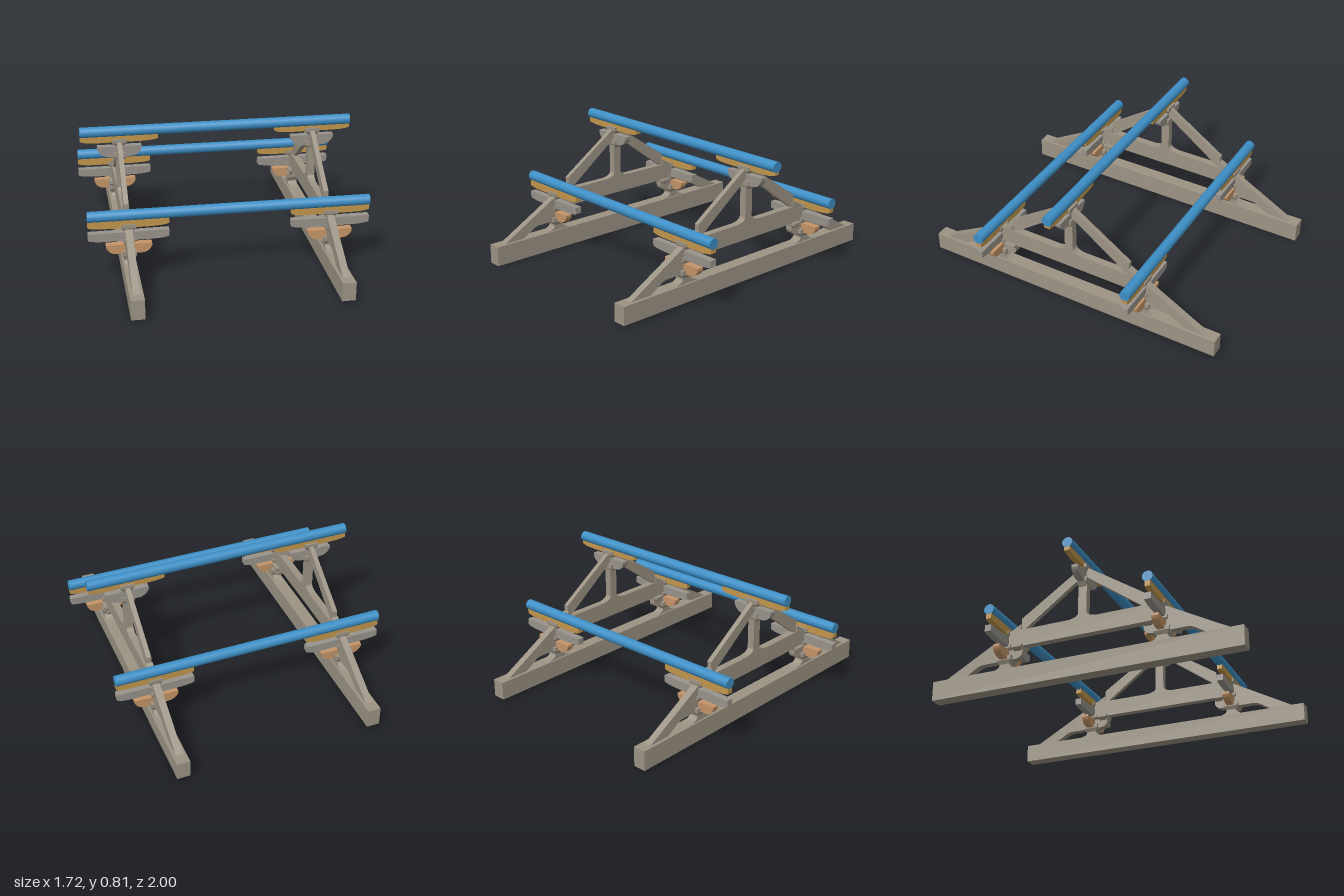
import * as THREE from 'three';

const mat = (name, color) => new THREE.MeshStandardMaterial({ name, color });

export function createModel() {
  const model = new THREE.Group();
  model.name = 'roofFrame';
  const timber = mat('grey timber', 0x9c9384);
  const armWood = mat('pale grey arm', 0x98938b);
  const blue = mat('blue purlin', 0x3d8fc6);
  const gold = mat('golden batten', 0xc2964c);
  const tan = mat('tan arm', 0xc49468);

  const add = (parent, name, geo, material, x = 0, y = 0, z = 0) => {
    const m = new THREE.Mesh(geo, material);
    m.name = name;
    m.position.set(x, y, z);
    parent.add(m);
    return m;
  };
  const box = (parent, name, w, y0, y1, d, material = timber, z = 0) =>
    add(parent, name, new THREE.BoxGeometry(w, y1 - y0, d), material, 0, (y0 + y1) / 2, z);
  const extrude = (shape, depth) => {
    const g = new THREE.ExtrudeGeometry(shape, { depth, bevelEnabled: false, curveSegments: 8 });
    return g.translate(0, 0, -depth / 2);
  };
  // plate drawn in (z, y), thick along x
  const sidePlate = (shape, width) => extrude(shape, width).rotateY(-Math.PI / 2);
  const polygon = (pts) => new THREE.Shape(pts.map(([a, b]) => new THREE.Vector2(a, b)));

  // bracket arm along x: square ends, underside curving down to a flat middle
  const armShape = (half, flat, top, end, bottom) => {
    const s = new THREE.Shape();
    s.moveTo(-half, top);
    s.lineTo(-half, end);
    s.quadraticCurveTo(-(half * 0.75 + flat * 0.25), bottom, -flat, bottom);
    s.lineTo(flat, bottom);
    s.quadraticCurveTo(half * 0.75 + flat * 0.25, bottom, half, end);
    s.lineTo(half, top);
    return s;
  };

  // bearing block: square cap over a tapered base
  const block = (parent, y0, y1, w, d, z = 0, foot = 0.65) => {
    const g = new THREE.Group();
    g.name = 'bearingBlock';
    const mid = y0 + (y1 - y0) * 0.5;
    box(g, 'blockCap', w, mid, y1, d);
    const taper = new THREE.CylinderGeometry(Math.SQRT1_2, Math.SQRT1_2 * foot, mid - y0, 4, 1)
      .toNonIndexed();
    taper.rotateY(Math.PI / 4).scale(w, 1, d);
    taper.computeVertexNormals();
    add(g, 'blockBase', taper, timber, 0, (y0 + mid) / 2, 0);
    g.position.z = z;
    parent.add(g);
  };

  // post with a concave flared foot
  const flaredPost = (y0, y1, footHalf, half, flare) => {
    const s = new THREE.Shape();
    s.moveTo(-footHalf, y0);
    s.quadraticCurveTo(-half, y0 + flare * 0.2, -half, y0 + flare);
    s.lineTo(-half, y1);
    s.lineTo(half, y1);
    s.lineTo(half, y0 + flare);
    s.quadraticCurveTo(half, y0 + flare * 0.2, footHalf, y0);
    return s;
  };

  // bracket set under an eave purlin
  const eaveBracket = (truss, side) => {
    const g = new THREE.Group();
    g.name = side > 0 ? 'frontBracket' : 'backBracket';
    add(g, 'bracketFoot', sidePlate(flaredPost(0.125, 0.175, 0.1, 0.033, 0.035), 0.06), timber);
    block(g, 0.158, 0.212, 0.085, 0.096);
    add(g, 'lowerArm', extrude(armShape(0.138, 0.07, 0.25, 0.235, 0.19), 0.045), tan);
    block(g, 0.245, 0.285, 0.07, 0.07);
    add(g, 'longArm', extrude(armShape(0.243, 0.12, 0.33, 0.288, 0.275), 0.042), armWood);
    block(g, 0.335, 0.378, 0.09, 0.05);
    add(g, 'eaveBatten', extrude(armShape(0.243, 0.12, 0.405, 0.37, 0.357), 0.036), gold);

    // inner arm along z carrying the cross beam
    const inner = new THREE.Shape();
    inner.moveTo(0.06, 0.25);
    inner.lineTo(-0.115, 0.25);
    inner.lineTo(-0.115, 0.225);
    inner.quadraticCurveTo(-0.11, 0.187, -0.06, 0.187);
    inner.lineTo(0.06, 0.187);
    add(g, 'innerArm', sidePlate(inner, 0.044), timber);
    block(g, 0.238, 0.272, 0.095, 0.066, -0.085);

    g.position.z = 0.51 * side;
    truss.add(g);
  };

  const makeTruss = (name, x, base) => {
    const truss = new THREE.Group();
    truss.name = name;
    truss.position.x = x;

    box(truss, 'tieBeam', 0.082, base, 0.125, 2);
    box(truss, 'crossBeam', 0.046, 0.267, 0.377, 1.03);

    // king post and ridge bracket
    add(truss, 'kingPost', sidePlate(flaredPost(0.377, 0.6, 0.095, 0.028, 0.035), 0.045), timber);
    block(truss, 0.585, 0.64, 0.085, 0.066);
    add(truss, 'ridgeArm', extrude(armShape(0.138, 0.06, 0.68, 0.662, 0.612), 0.042), armWood);
    block(truss, 0.683, 0.728, 0.09, 0.066);
    add(truss, 'ridgeBatten', extrude(armShape(0.243, 0.12, 0.75, 0.72, 0.707), 0.036), gold);

    for (const s of [1, -1]) {
      eaveBracket(truss, s);
      // rafter from the cross beam up to the ridge
      const rafter = polygon([[0.41, 0.377], [0.41, 0.455], [0.015, 0.722], [0, 0.722], [0, 0.665], [0.395, 0.372]]
        .map(([z, y]) => [z * s, y]));
      add(truss, s > 0 ? 'frontRafter' : 'backRafter', sidePlate(rafter, 0.03), timber);

      // brace from the tie beam up past the eave bracket
      const brace = new THREE.Shape();
      brace.moveTo(0.93 * s, 0.125);
      brace.lineTo(0.41 * s, 0.415);
      brace.lineTo(0.41 * s, 0.37);
      brace.lineTo(0.51 * s, 0.3);
      brace.lineTo(0.51 * s, 0.187);
      brace.lineTo(0.66 * s, 0.187);
      brace.quadraticCurveTo(0.69 * s, 0.187, 0.72 * s, 0.165);
      brace.lineTo(0.785 * s, 0.125);
      add(truss, s > 0 ? 'frontBrace' : 'backBrace', sidePlate(brace, 0.044), timber);
    }
    // brackets turn inward on both sides
    truss.getObjectByName('backBracket').rotation.y = Math.PI;
    model.add(truss);
  };
  makeTruss('leftTruss', 0.615, 0.01);
  makeTruss('rightTruss', -0.617, 0);

  // round purlins across both trusses
  const purlinGeo = new THREE.CylinderGeometry(0.033, 0.033, 1.72, 28).rotateZ(Math.PI / 2);
  for (const [name, y, z] of [['ridgePurlin', 0.772, 0], ['frontPurlin', 0.43, 0.51], ['backPurlin', 0.43, -0.51]]) {
    add(model, name, purlinGeo, blue, 0, y, z).rotation.z = -0.004;
  }
  return model;
}
